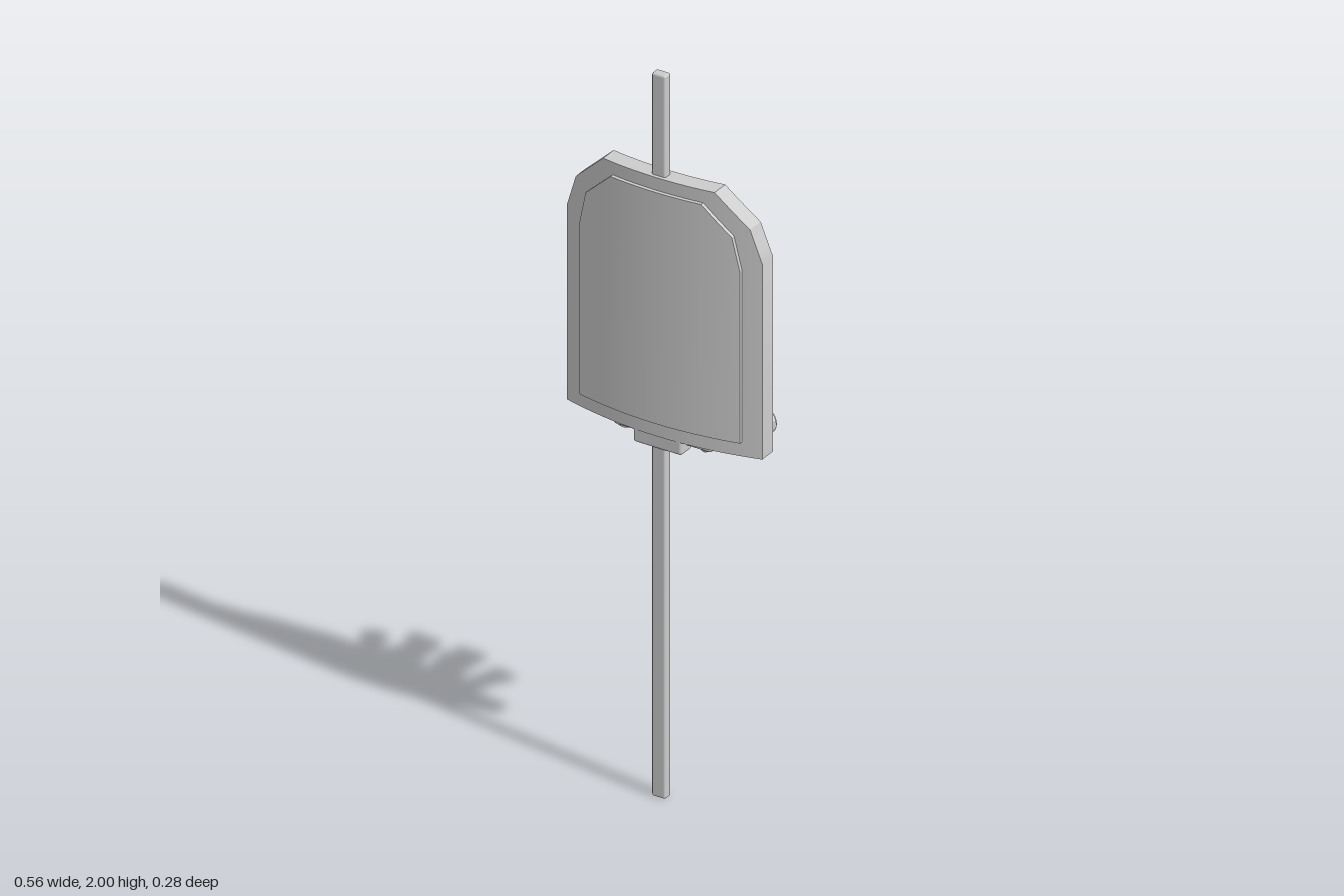
import * as THREE from 'three';
import { toCreasedNormals } from 'three/addons/utils/BufferGeometryUtils.js';
import { RoundedBoxGeometry } from 'three/addons/geometries/RoundedBoxGeometry.js';

const grey = new THREE.MeshStandardMaterial({ color: 0xcccccc });
grey.name = 'light grey';

function add(parent, name, geometry, x = 0, y = 0, z = 0) {
  const mesh = new THREE.Mesh(geometry, grey);
  mesh.name = name;
  mesh.position.set(x, y, z);
  parent.add(mesh);
  return mesh;
}

// Box given by its limits, with slightly rounded edges
function box(parent, name, [x0, x1], [y0, y1], [z0, z1], r) {
  const g = new RoundedBoxGeometry(x1 - x0, y1 - y0, z1 - z0, 2, r);
  return add(parent, name, g, (x0 + x1) / 2, (y0 + y1) / 2, (z0 + z1) / 2);
}

// Plate bowed along x; corners lists [x, topY] from the chamfer to the outer side
function bowedPlate(corners, bottom, frontZ, thickness) {
  const outline = [[0, corners[0][1]], ...corners];
  const half = [];
  for (let i = 0; i < outline.length - 1; i++) {
    const [xa, ya] = outline[i], [xb, yb] = outline[i + 1];
    const steps = i === 0 ? 6 : 3;
    for (let s = 0; s < steps; s++) {
      half.push([xa + (xb - xa) * s / steps, ya + (yb - ya) * s / steps]);
    }
  }
  half.push(outline[outline.length - 1]);
  const columns = [...half.slice(1).reverse().map(([x, y]) => [-x, y]), ...half];

  const pos = [], idx = [];
  for (const [x, top] of columns) {
    const f = frontZ - 0.5 * x * x, b = f - thickness;
    pos.push(x, bottom, f, x, top, f, x, top, b, x, bottom, b);
  }
  const n = columns.length;
  for (let i = 0; i < n - 1; i++) {
    for (let k = 0; k < 4; k++) {
      const a = i * 4 + k, d = i * 4 + (k + 1) % 4;
      idx.push(a, a + 4, d + 4, a, d + 4, d);
    }
  }
  const e = (n - 1) * 4;
  idx.push(0, 1, 2, 0, 2, 3, e, e + 2, e + 1, e, e + 3, e + 2);
  const g = new THREE.BufferGeometry();
  g.setAttribute('position', new THREE.Float32BufferAttribute(pos, 3));
  g.setIndex(idx);
  return toCreasedNormals(g, 0.4);
}

// Tube pointing backwards with a wider collar and a thin end disc
function nozzle(parent, name, x, y, endZ, length, r, collarR, collarLength, angle = 0) {
  const profile = [
    [0, 0], [r, 0], [r, length - collarLength],
    [collarR, length - collarLength], [collarR, length - 0.004],
    [collarR - 0.004, length - 0.004], [collarR - 0.004, length], [0, length],
  ].map(([a, b]) => new THREE.Vector2(a, b));
  const g = toCreasedNormals(new THREE.LatheGeometry(profile, 24), 0.6);
  g.translate(0, -length, 0);
  g.rotateX(-Math.PI / 2);
  g.rotateY(angle);
  return add(parent, name, g, x, y, endZ);
}

export function createModel() {
  const model = new THREE.Group();
  model.name = 'shieldOnPole';

  // Long pole running through the shield
  box(model, 'pole', [-0.02, 0.02], [0, 2], [0.092, 0.118], 0.006);

  // Bowed shield and its raised front panel
  const shield = new THREE.Group();
  shield.name = 'shield';
  model.add(shield);
  add(shield, 'shieldPlate',
    bowedPlate([[0.16, 1.72], [0.25, 1.635], [0.28, 1.545]], 1.005, 0.128, 0.048));
  add(shield, 'frontPanel',
    bowedPlate([[0.13, 1.685], [0.21, 1.61], [0.23, 1.52]], 1.045, 0.138, 0.012));

  // Mount at the foot of the shield
  const mount = new THREE.Group();
  mount.name = 'rearMount';
  model.add(mount);
  box(mount, 'mountBody', [-0.14, 0.14], [0.985, 1.035], [-0.015, 0.1], 0.006);
  box(mount, 'poleClamp', [-0.07, 0.07], [0.967, 1.01], [0.075, 0.124], 0.008);
  box(mount, 'headStem', [-0.03, 0.03], [1.03, 1.07], [-0.012, 0.042], 0.005);
  box(mount, 'headBlock', [-0.042, 0.042], [1.064, 1.11], [-0.046, 0.052], 0.008);
  const lens = new THREE.CylinderGeometry(0.02, 0.02, 0.02, 24).rotateX(Math.PI / 2);
  add(mount, 'headLens', lens, 0, 1.087, -0.044);

  // Mirrored nozzles: large, small and splayed
  for (const s of [-1, 1]) {
    const side = s > 0 ? 'left' : 'right';
    nozzle(mount, side + 'LargeNozzle', s * 0.066, 1.005, -0.14, 0.22, 0.03, 0.036, 0.03);
    nozzle(mount, side + 'SmallNozzle', s * 0.032, 1.012, -0.105, 0.16, 0.015, 0.018, 0.03);
    nozzle(mount, side + 'SplayedNozzle', s * 0.189, 1.003, -0.093, 0.2, 0.025, 0.029, 0.03, -s * 0.4);
  }
  return model;
}
